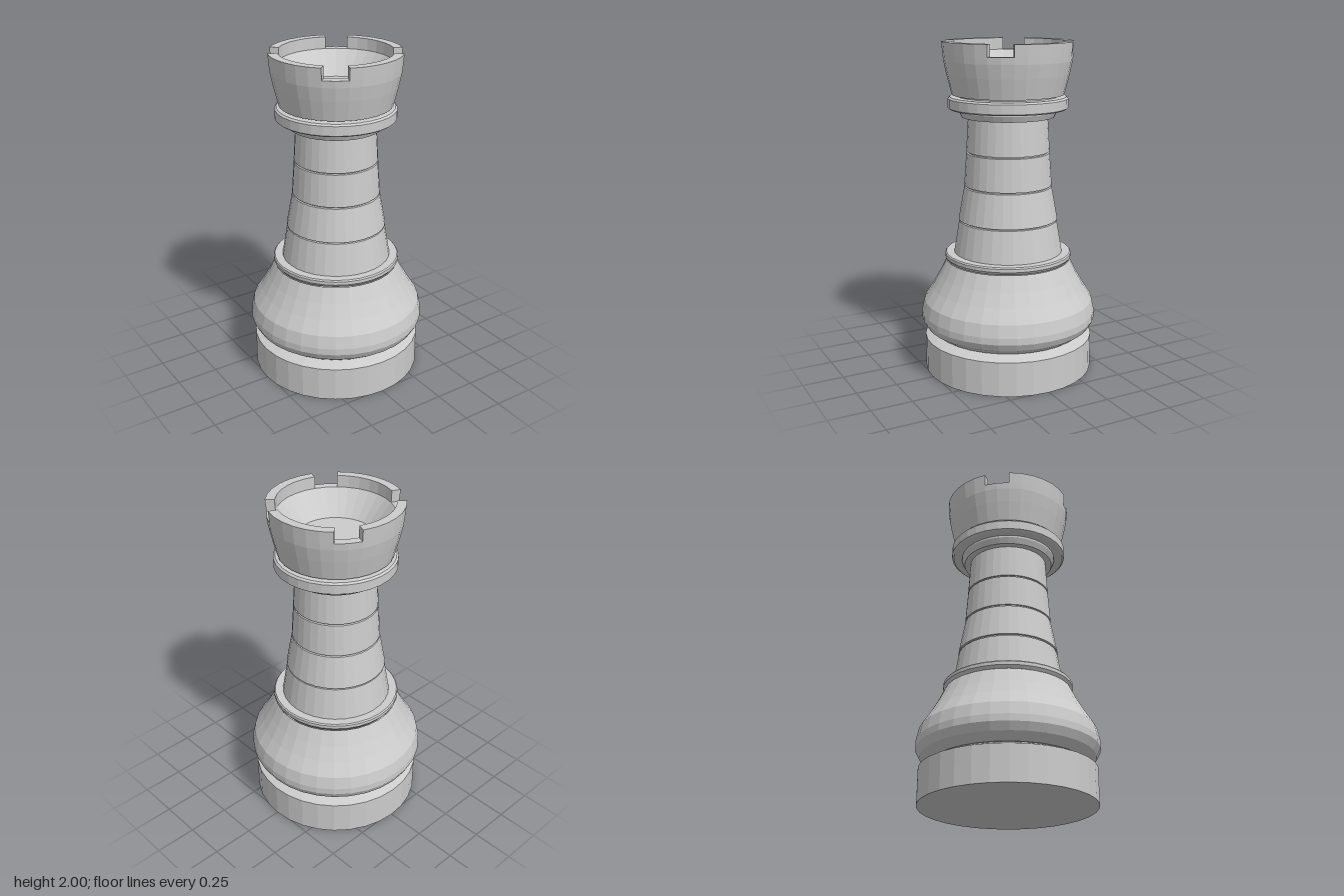
import * as THREE from 'three';

const SIDES = 32;
const material = new THREE.MeshStandardMaterial({ color: 0xcccccc, flatShading: true });
const capMaterial = new THREE.MeshStandardMaterial({ color: 0xcccccc, flatShading: true, side: THREE.DoubleSide });

// Turned part from [radius, height] pairs, listed up the outside and back to the axis
function turned(name, profile, sides = SIDES, start = 0, sweep = Math.PI * 2) {
  const points = profile.map(([r, y]) => new THREE.Vector2(r, y));
  const mesh = new THREE.Mesh(new THREE.LatheGeometry(points, sides, start, sweep), material);
  mesh.name = name;
  return mesh;
}

export function createModel() {
  const model = new THREE.Group();
  model.name = 'rook';

  // Foot disc with a chamfered top
  model.add(turned('foot', [[0, 0], [0.515, 0], [0.515, 0.21], [0.45, 0.236], [0.4, 0.236]]));

  // Swelling bell above the foot
  model.add(turned('bell', [
    [0.4, 0.238], [0.455, 0.24], [0.51, 0.28], [0.534, 0.325], [0.534, 0.365],
    [0.517, 0.44], [0.465, 0.52], [0.42, 0.6], [0.376, 0.69],
  ]));

  // Collar at the base of the shaft
  model.add(turned('collar', [
    [0.36, 0.69], [0.372, 0.692], [0.385, 0.71], [0.385, 0.73], [0.378, 0.738], [0.31, 0.738],
  ]));

  // Shaft drums: [bottom y, top y, bottom radius, top radius], with narrow joints between
  const drums = [
    [0.735, 0.932, 0.33, 0.297],
    [0.942, 1.14, 0.3, 0.264],
    [1.15, 1.345, 0.264, 0.25],
    [1.355, 1.565, 0.25, 0.237],
  ];
  drums.forEach(([y0, y1, r0, r1], i) => {
    model.add(turned('shaftDrum' + (i + 1), [
      [r0 - 0.02, y0], [r0, y0], [r1, y1], [r1 - 0.01, y1 + 0.003], [r1 - 0.01, y1 + 0.012],
    ]));
  });

  // Stepped ring carrying the turret
  model.add(turned('neckRing', [
    [0.22, 1.56], [0.275, 1.56], [0.292, 1.595], [0.292, 1.607], [0.345, 1.607], [0.356, 1.615],
    [0.356, 1.67], [0.345, 1.68], [0.3, 1.682], [0.3, 1.692],
  ]));

  // Turret cup, with the crenel floor as its rim and a sloping bowl inside
  model.add(turned('turret', [
    [0.29, 1.69], [0.332, 1.692], [0.361, 1.81], [0.378, 1.89], [0.382, 1.93],
    [0.332, 1.93], [0.218, 1.79], [0, 1.79],
  ]));

  // Four merlons, each six sides of the ring wide
  const wall = [[0.382, 1.93], [0.388, 2], [0.334, 2], [0.332, 1.93]];
  const endShape = new THREE.Shape(wall.map(([r, y]) => new THREE.Vector2(r, y)));
  const endGeometry = new THREE.ShapeGeometry(endShape);
  const sweep = (Math.PI * 2 * 6) / SIDES;
  for (let i = 0; i < 4; i++) {
    const start = Math.PI * (0.375 + i * 0.5);
    const merlon = new THREE.Group();
    merlon.name = 'merlon' + (i + 1);
    merlon.add(turned('merlonWall', wall, 6, start, sweep));
    for (const angle of [start, start + sweep]) {
      const end = new THREE.Mesh(endGeometry, capMaterial);
      end.name = 'merlonEnd';
      end.rotation.y = angle - Math.PI / 2;
      merlon.add(end);
    }
    model.add(merlon);
  }
  return model;
}
